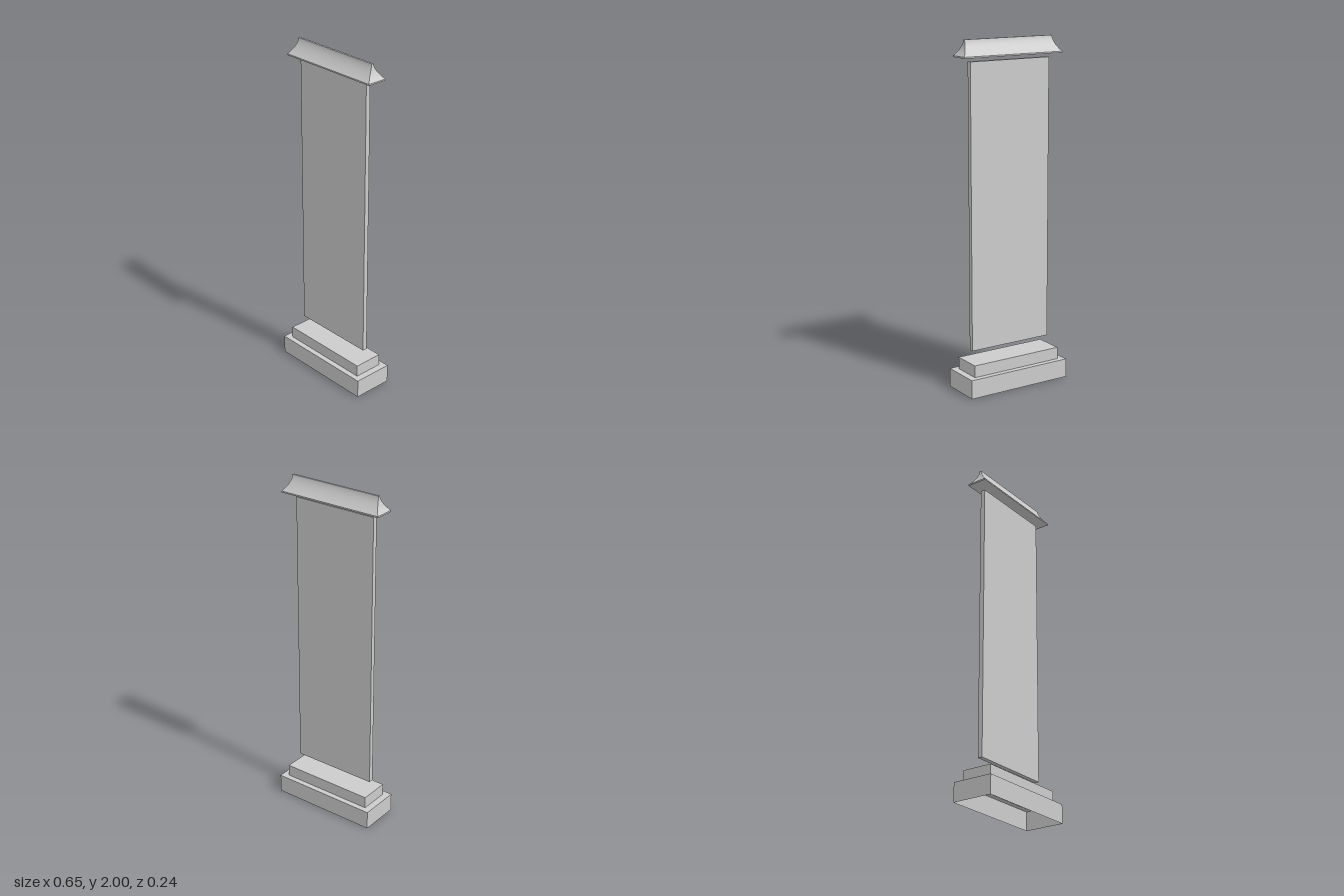
import * as THREE from 'three';

const mat = new THREE.MeshStandardMaterial({ color: 0xcccccc, side: THREE.DoubleSide });

function addMesh(group, name, geometry) {
  const mesh = new THREE.Mesh(geometry, mat);
  mesh.name = name;
  group.add(mesh);
  return mesh;
}

// Skirt through rectangular sections [halfX, y, halfZ]; each side is its own
// smooth strip, so the corners stay sharp.
function skirt(group, name, sections) {
  const sides = new THREE.Group();
  sides.name = name;
  const corners = [[-1, 1], [1, 1], [1, -1], [-1, -1]];
  for (let s = 0; s < 4; s++) {
    const a = corners[s], b = corners[(s + 1) % 4];
    const pos = [], index = [];
    sections.forEach(([x, y, z], i) => {
      pos.push(a[0] * x, y, a[1] * z, b[0] * x, y, b[1] * z);
      if (i > 0) {
        const k = 2 * i;
        index.push(k, k + 1, k - 2, k + 1, k - 1, k - 2);
      }
    });
    const geo = new THREE.BufferGeometry();
    geo.setAttribute('position', new THREE.Float32BufferAttribute(pos, 3));
    geo.setIndex(index);
    geo.computeVertexNormals();
    addMesh(sides, name + 'Side', geo);
  }
  group.add(sides);
}

// Flat rectangle facing up (or down), with an optional rectangular hole.
function slab(group, name, x, z, y, hole, down = false) {
  const rect = (P, w, h) => new P([[-w, -h], [w, -h], [w, h], [-w, h]].map(([u, v]) => new THREE.Vector2(u, v)));
  const shape = rect(THREE.Shape, x, z);
  if (hole) shape.holes.push(rect(THREE.Path, hole[0], hole[1]));
  const geo = new THREE.ShapeGeometry(shape);
  geo.rotateX(down ? Math.PI / 2 : -Math.PI / 2);
  geo.translate(0, y, 0);
  addMesh(group, name, geo);
}

export function createModel() {
  const model = new THREE.Group();
  model.name = 'standingSlab';

  // Hollow stepped base, open underneath
  const base = new THREE.Group();
  base.name = 'base';
  const [bx, bz, bh] = [0.326, 0.1205, 0.11];
  const [sx, sz, sh] = [0.286, 0.088, 0.18];
  skirt(base, 'plinth', [[bx, bh, bz], [bx, 0, bz]]);
  slab(base, 'plinthLedge', bx, bz, bh, [sx, sz]);
  skirt(base, 'step', [[sx, sh, sz], [sx, bh, sz]]);
  slab(base, 'stepTop', sx, sz, sh);
  model.add(base);

  // Tall thin panel, floating between base and cap
  const panel = addMesh(model, 'panel', new THREE.BoxGeometry(0.518, 1.64, 0.028));
  panel.position.set(-0.003, 1.06, 0);

  // Roof-like cap with concave slopes and a thin eave
  const cap = new THREE.Group();
  cap.name = 'cap';
  const slope = [];
  const n = 12;
  for (let i = 0; i <= n; i++) {
    const t = i / n;
    slope.push([0.286 + 0.035 * t ** 2.1, 2 - 0.088 * t, 0.006 + 0.0535 * t ** 1.6]);
  }
  skirt(cap, 'slope', slope);
  skirt(cap, 'eave', [[0.321, 1.912, 0.0595], [0.321, 1.904, 0.0595]]);
  slab(cap, 'ridge', 0.286, 0.006, 2);
  slab(cap, 'capUnderside', 0.321, 0.0595, 1.904, null, true);
  model.add(cap);

  return model;
}
